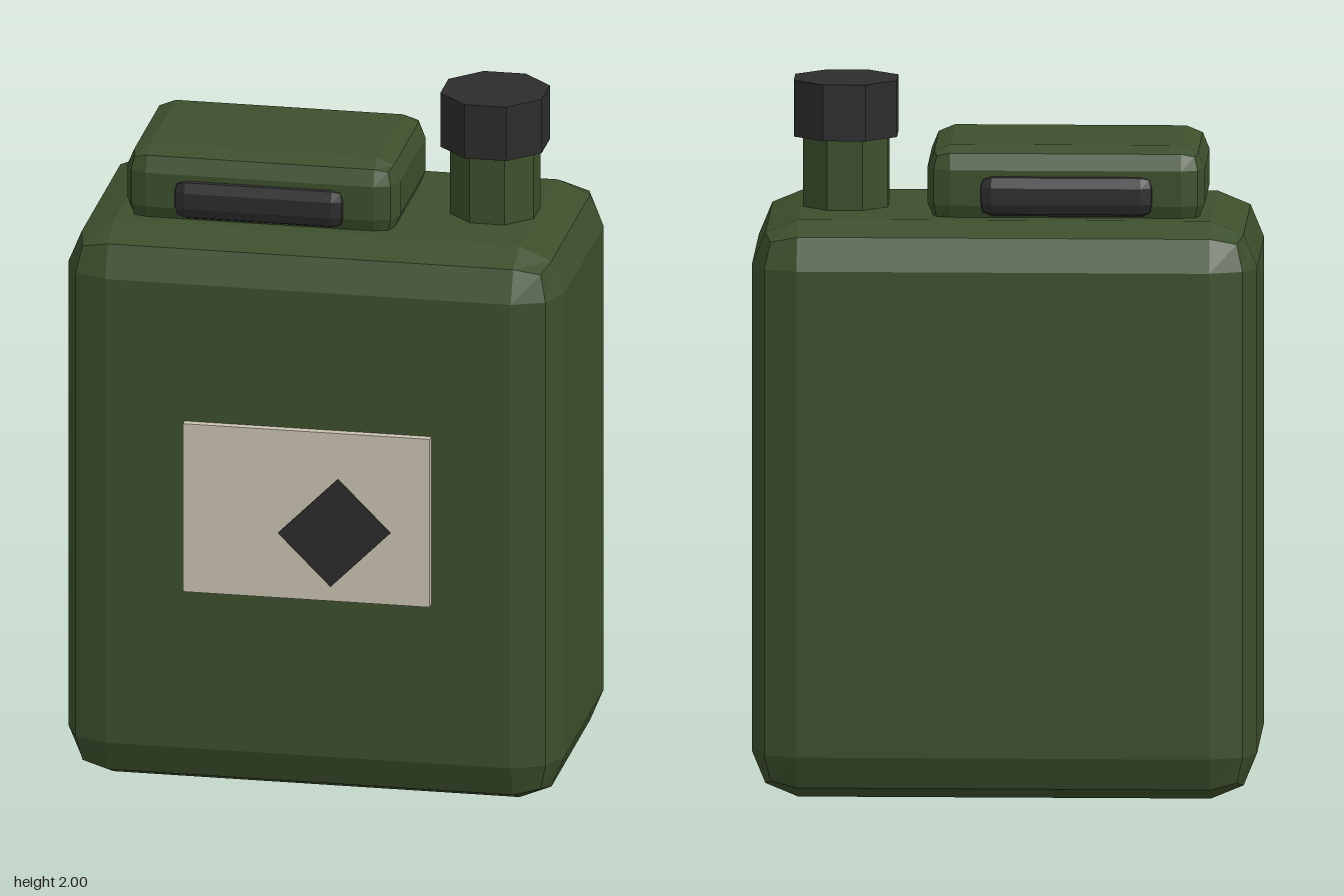
import * as THREE from 'three';
import { RoundedBoxGeometry } from 'three/addons/geometries/RoundedBoxGeometry.js';

export function createModel() {
  const model = new THREE.Group();
  model.name = 'fuelCanister';

  const paint = (name, color) => {
    const m = new THREE.MeshStandardMaterial({ color });
    m.name = name;
    m.flatShading = true;
    return m;
  };
  const green = paint('olive green', 0x3c4f2c);
  const black = paint('dark rubber', 0x2c2c2d);
  const cream = paint('label cream', 0xc9c1b0);

  const add = (name, geometry, material, x, y, z) => {
    const mesh = new THREE.Mesh(geometry, material);
    mesh.name = name;
    mesh.position.set(x, y, z);
    model.add(mesh);
    return mesh;
  };
  // Box with a two-step bevel
  const bevelBox = (w, h, d, r) => new RoundedBoxGeometry(w, h, d, 1, r);
  // Octagonal prism with its flats facing the axes
  const octagon = (acrossFlats, h) => {
    const r = acrossFlats / 2 / Math.cos(Math.PI / 8);
    return new THREE.CylinderGeometry(r, r, h, 8).rotateY(Math.PI / 8);
  };

  const zc = -0.018; // centre of the tank in depth

  // Tank
  add('tank', bevelBox(1.42, 1.64, 0.836, 0.13), green, 0, 0.82, zc);

  // Carrying handle with a dark grip passing through it
  add('handle', bevelBox(0.78, 0.23, 0.506, 0.065), green, -0.17, 1.725, zc);
  add('handleGrip', bevelBox(0.5, 0.126, 0.544, 0.04), black, -0.172, 1.704, zc);

  // Spout and cap
  add('spoutNeck', octagon(0.24, 0.24), green, 0.455, 1.73, zc);
  add('spoutCap', octagon(0.29, 0.16), black, 0.455, 1.92, zc);

  // Front label with a turned hazard mark
  add('label', new THREE.BoxGeometry(0.706, 0.5, 0.03), cream, 0, 0.853, 0.409);
  const mark = add('hazardMark', new THREE.BoxGeometry(0.24, 0.212, 0.009), black, 0.081, 0.808, 0.4295);
  mark.rotation.z = Math.PI / 4;

  return model;
}
